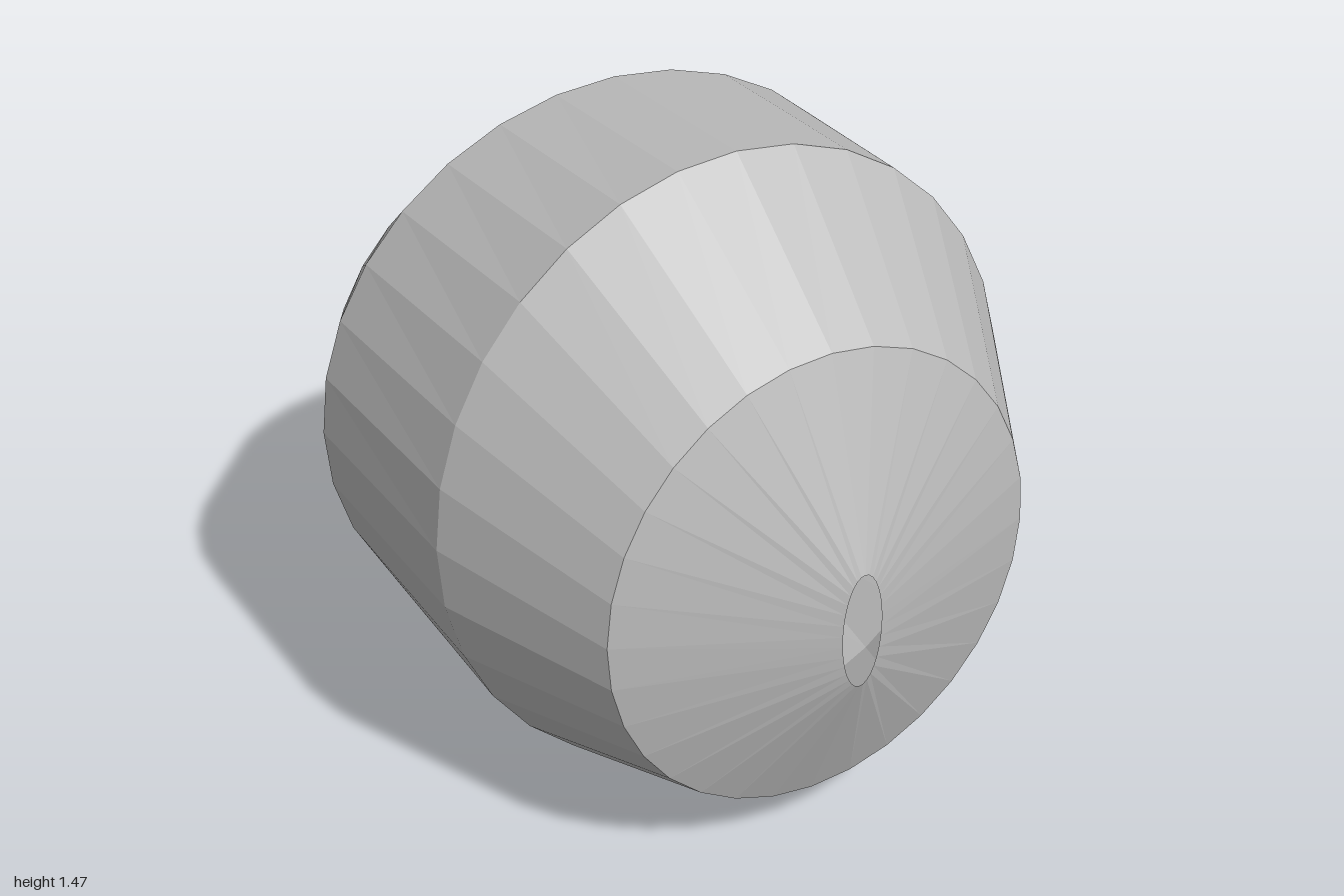
import * as THREE from 'three';

const SIDES = 32;

// Elliptical cross-sections, front to back: [z, top y, bottom y, half width]
const RINGS = [
  [1.0, 0.78, 0.51, 0.045],
  [0.845, 1.2, 0.138, 0.487],
  [0.47, 1.467, 0.0, 0.676],
  [-0.045, 1.422, 0.05, 0.708],
  [-0.4, 1.155, 0.05, 0.55],
  [-0.76, 0.68, 0.015, 0.41],
  [-1.0, 0.387, 0.083, 0.22],
];

// Joins consecutive elliptical rings into an open-ended skin
function loft(rings, sides) {
  const positions = [];
  const index = [];
  for (const [z, top, bottom, halfWidth] of rings) {
    for (let i = 0; i < sides; i++) {
      const a = (i / sides) * Math.PI * 2;
      positions.push(
        halfWidth * Math.cos(a),
        (top + bottom) / 2 + ((top - bottom) / 2) * Math.sin(a),
        z
      );
    }
  }
  for (let r = 0; r < rings.length - 1; r++) {
    for (let i = 0; i < sides; i++) {
      const j = (i + 1) % sides;
      const a = r * sides + i;
      const b = r * sides + j;
      index.push(a, a + sides, b, b, a + sides, b + sides);
    }
  }
  const geometry = new THREE.BufferGeometry();
  geometry.setAttribute('position', new THREE.Float32BufferAttribute(positions, 3));
  geometry.setIndex(index);
  const faceted = geometry.toNonIndexed();
  faceted.computeVertexNormals();
  return faceted;
}

export function createModel() {
  const group = new THREE.Group();
  group.name = 'taperedShell';

  const grey = new THREE.MeshStandardMaterial({
    color: 0xbcbcbc,
    flatShading: true,
    side: THREE.DoubleSide,
  });
  grey.name = 'plain grey';

  // Hollow body, open at the front slit and at the rear mouth
  const body = new THREE.Mesh(loft(RINGS, SIDES), grey);
  body.name = 'shellBody';
  group.add(body);

  return group;
}
